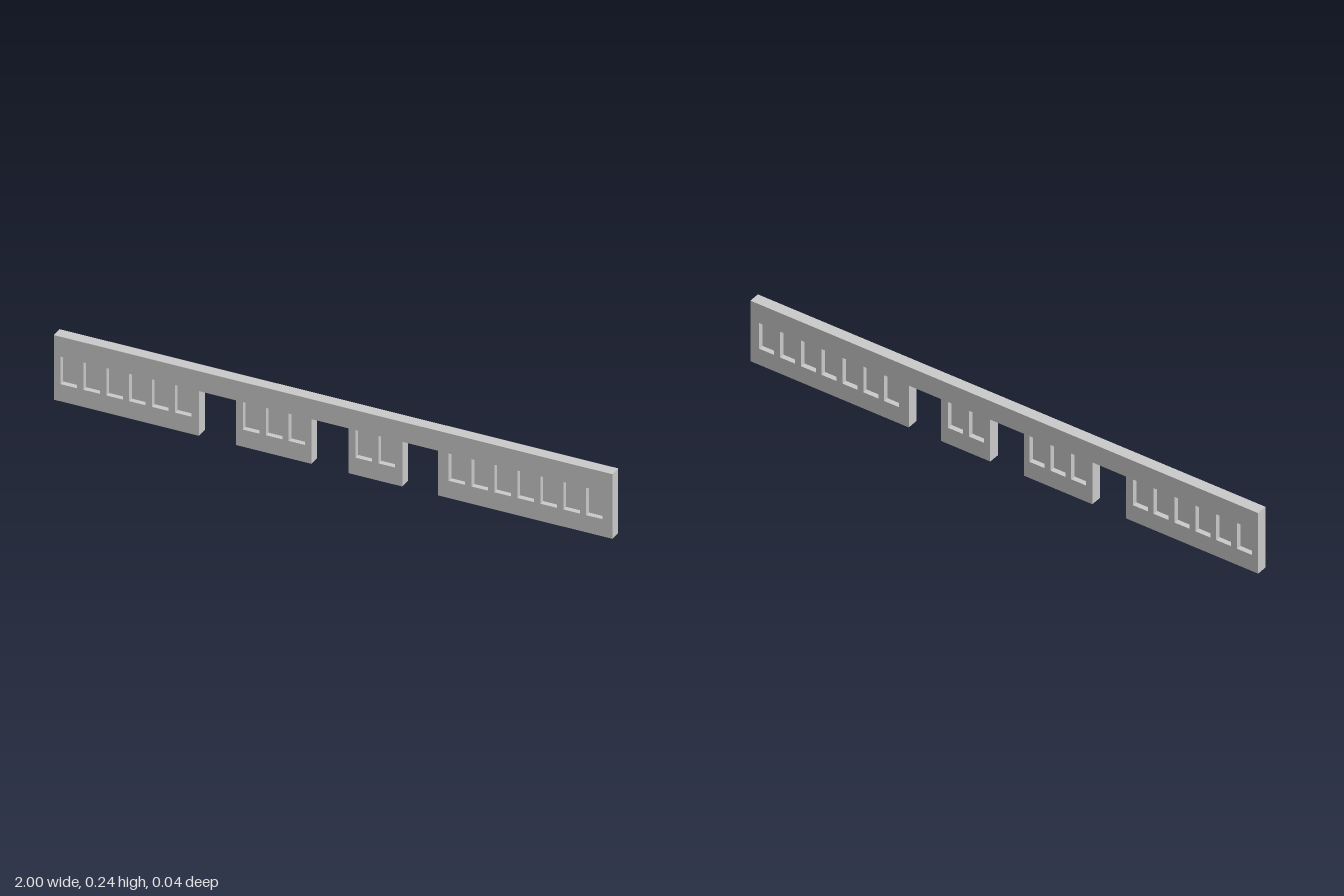
import * as THREE from 'three';

const HALF = 1, HEIGHT = 0.24, DEPTH = 0.042;
const OPENING_TOP = 0.166, SILL = 0.064;
const WINDOW_WIDTH = 0.059, PITCH = 0.082, PANE_DEPTH = 0.004;

// Door openings as [left edge, right edge]
const DOORS = [[-0.48, -0.347], [-0.078, 0.055], [0.248, 0.376]];
// Window rows as [first left edge, count]
const WINDOW_ROWS = [[-0.976, 6], [-0.323, 3], [0.08, 2], [0.414, 7]];

export function createModel() {
  const group = new THREE.Group();
  group.name = 'windowedWall';
  const material = new THREE.MeshStandardMaterial({ color: 0xcccccc, flatShading: true });

  // Wall outline, notched along the bottom for the doors
  const outline = new THREE.Shape();
  outline.moveTo(-HALF, 0);
  for (const [x0, x1] of DOORS) {
    outline.lineTo(x0, 0);
    outline.lineTo(x0, OPENING_TOP);
    outline.lineTo(x1, OPENING_TOP);
    outline.lineTo(x1, 0);
  }
  outline.lineTo(HALF, 0);
  outline.lineTo(HALF, HEIGHT);
  outline.lineTo(-HALF, HEIGHT);
  outline.closePath();

  // Window holes, each with a thin pane set in mid-depth
  const paneGeometry = new THREE.BoxGeometry(WINDOW_WIDTH, OPENING_TOP - SILL, PANE_DEPTH);
  const panes = new THREE.Group();
  panes.name = 'windowPanes';
  for (const [start, count] of WINDOW_ROWS) {
    for (let i = 0; i < count; i++) {
      const x0 = start + i * PITCH, x1 = x0 + WINDOW_WIDTH;
      const hole = new THREE.Path();
      hole.moveTo(x0, SILL);
      hole.lineTo(x0, OPENING_TOP);
      hole.lineTo(x1, OPENING_TOP);
      hole.lineTo(x1, SILL);
      hole.closePath();
      outline.holes.push(hole);

      const pane = new THREE.Mesh(paneGeometry, material);
      pane.name = 'windowPane';
      pane.position.set((x0 + x1) / 2, (SILL + OPENING_TOP) / 2, 0);
      panes.add(pane);
    }
  }

  const wallGeometry = new THREE.ExtrudeGeometry(outline, { depth: DEPTH, bevelEnabled: false });
  wallGeometry.translate(0, 0, -DEPTH / 2);
  const wall = new THREE.Mesh(wallGeometry, material);
  wall.name = 'wall';

  group.add(wall, panes);
  return group;
}
